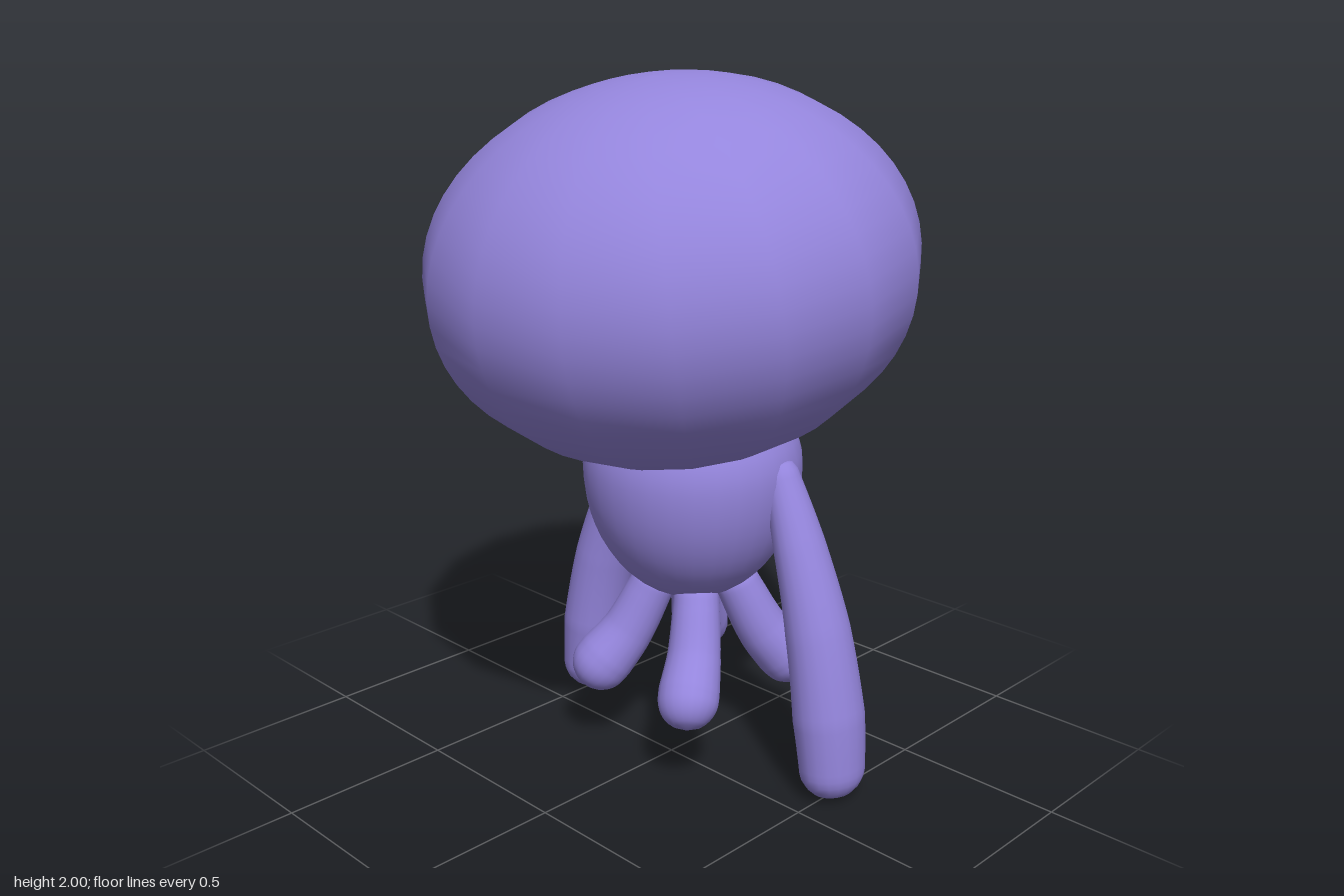
import * as THREE from 'three';
import { mergeVertices } from 'three/addons/utils/BufferGeometryUtils.js';

const material = new THREE.MeshStandardMaterial({ color: 0x9485dc });

function addMesh(parent, name, geometry) {
  const mesh = new THREE.Mesh(geometry, material);
  mesh.name = name;
  parent.add(mesh);
  return mesh;
}

// Half-ellipse arc for a lathe, from angle a0 to a1 (-PI/2 is the bottom)
function arc(rx, ry, a0, a1, steps) {
  const points = [];
  for (let i = 0; i <= steps; i++) {
    const a = a0 + ((a1 - a0) * i) / steps;
    points.push(new THREE.Vector2(Math.max(0, rx * Math.cos(a)), ry * Math.sin(a)));
  }
  return points;
}

// Tapered limb with rounded ends; radii are spread evenly along the path
function limbGeometry(path, radii) {
  const curve = new THREE.CatmullRomCurve3(path.map((p) => new THREE.Vector3(...p)));
  const length = curve.getLength();
  const rows = 48, sides = 20;
  const geometry = new THREE.TubeGeometry(curve, rows, 1, sides);
  const position = geometry.attributes.position;
  const v = new THREE.Vector3();
  const round = (d, r) => (d >= r ? 1 : Math.sqrt(Math.max(0, 1 - (1 - d / r) ** 2)));
  for (let i = 0; i <= rows; i++) {
    const u = i / rows;
    const k = Math.min(Math.floor(u * (radii.length - 1)), radii.length - 2);
    const taper = THREE.MathUtils.lerp(radii[k], radii[k + 1], u * (radii.length - 1) - k);
    const radius = taper * round(u * length, radii[0])
      * round((1 - u) * length, radii[radii.length - 1]);
    const centre = curve.getPointAt(u);
    for (let j = 0; j <= sides; j++) {
      const n = i * (sides + 1) + j;
      v.fromBufferAttribute(position, n).sub(centre).multiplyScalar(radius).add(centre);
      position.setXYZ(n, v.x, v.y, v.z);
    }
  }
  geometry.deleteAttribute('uv');
  geometry.deleteAttribute('normal');
  const merged = mergeVertices(geometry, 1e-5);
  merged.computeVertexNormals();
  return merged;
}

export function createModel() {
  const model = new THREE.Group();
  model.name = 'creature';

  // Wide head, tipped forward, with a flat underside (doubled point keeps its rim sharp)
  const profile = arc(0.685, 0.521, -1.148, Math.PI / 2, 24);
  profile.unshift(new THREE.Vector2(0, profile[0].y), profile[0].clone());
  const head = addMesh(model, 'head', new THREE.LatheGeometry(profile, 16));
  head.position.set(0, 1.476, 0);
  head.rotation.x = 0.16;

  // Egg-shaped body, long below and short above
  const bodyProfile = [
    ...arc(0.318, 0.4, -Math.PI / 2, 0, 14),
    ...arc(0.318, 0.27, 0, Math.PI / 2, 10).slice(1),
  ];
  const body = addMesh(model, 'body', new THREE.LatheGeometry(bodyProfile, 32));
  body.position.set(0, 0.9, -0.087);

  for (const side of [1, -1]) {
    const label = side > 0 ? 'left' : 'right';

    // Long arms, slightly deeper than wide
    const arm = addMesh(model, label + 'Arm', limbGeometry(
      [[0.27, 0.96, 0], [0.35, 0.76, 0], [0.435, 0.5, 0], [0.485, 0.25, 0], [0.512, 0.005, 0]]
        .map(([x, y, z]) => [side * x, y, z]),
      [0.045, 0.07, 0.088, 0.098, 0.085]));
    arm.scale.z = 1.12;
    arm.position.z = -0.14;

    // Short legs splayed to the four corners
    for (const end of [1, -1]) {
      const leg = addMesh(model, label + (end > 0 ? 'FrontLeg' : 'BackLeg'), limbGeometry(
        [[0.07, 0.58, 0.07], [0.1, 0.49, 0.1], [0.14, 0.37, 0.15], [0.185, 0.27, 0.22], [0.215, 0.21, 0.255]]
          .map(([x, y, z]) => [side * x, y, end * z]),
        [0.062, 0.07, 0.077, 0.088, 0.086]));
      leg.position.z = -0.1;
    }
  }
  return model;
}
